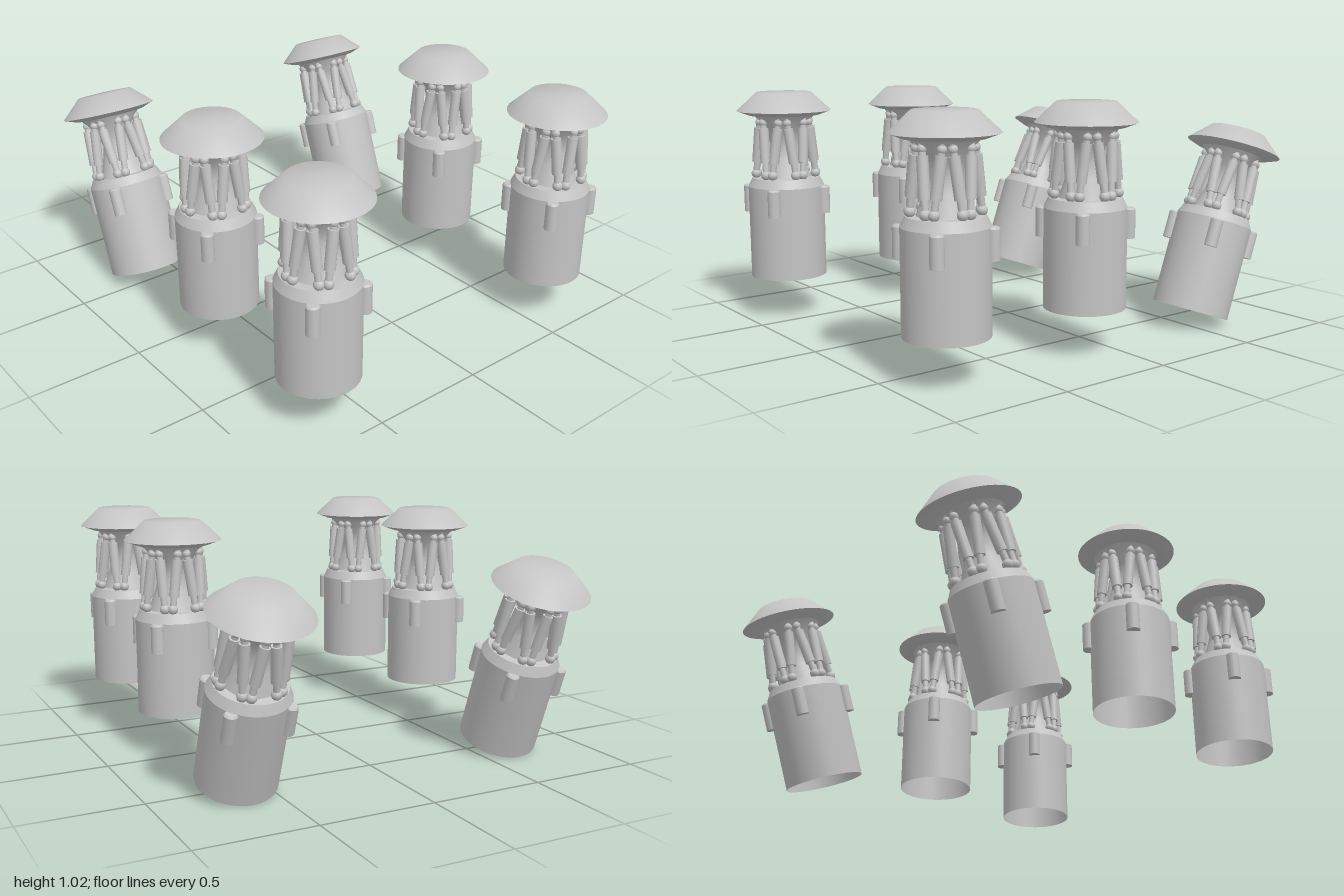
import * as THREE from 'three';

const metal = new THREE.MeshStandardMaterial({ color: 0xc4c4c4, side: THREE.DoubleSide });
metal.name = 'light grey metal';

function add(parent, name, geometry) {
  const mesh = new THREE.Mesh(geometry, metal);
  mesh.name = name;
  parent.add(mesh);
  return mesh;
}

function lathe(parent, name, points, segments = 48) {
  return add(parent, name, new THREE.LatheGeometry(points.map(p => new THREE.Vector2(...p)), segments));
}

// Cylinder between two points, radii at start and end
function rod(parent, name, a, b, r0, r1 = r0) {
  const dir = b.clone().sub(a);
  const mesh = add(parent, name, new THREE.CylinderGeometry(r1, r0, dir.length(), 12));
  mesh.position.copy(a).add(b).multiplyScalar(0.5);
  mesh.quaternion.setFromUnitVectors(new THREE.Vector3(0, 1, 0), dir.normalize());
}

function ball(parent, name, p, r) {
  add(parent, name, new THREE.SphereGeometry(r, 10, 8)).position.copy(p);
}

const polar = (angle, r, y) => new THREE.Vector3(Math.sin(angle) * r, y, Math.cos(angle) * r);

// Leaning piston with a joint at each end
function piston(parent, angle, lean) {
  const leg = new THREE.Group();
  leg.name = 'piston';
  const low = polar(angle - lean, 0.133, 0.473);
  const high = polar(angle + lean, 0.112, 0.742);
  const at = t => low.clone().lerp(high, t);
  ball(leg, 'lowerJoint', low, 0.022);
  rod(leg, 'lowerRod', low, at(0.24), 0.014);
  rod(leg, 'barrel', at(0.2), at(0.78), 0.022, 0.022);
  rod(leg, 'upperRod', at(0.76), high, 0.014);
  ball(leg, 'upperJoint', at(0.87), 0.019);
  parent.add(leg);
}

// One tower, its open bottom at y = 0
function createTower() {
  const tower = new THREE.Group();
  tower.name = 'tower';

  // Open tube with a chamfered shoulder
  lathe(tower, 'barrelWall', [[0.17, 0], [0.17, 0.415]]);
  lathe(tower, 'shoulder', [[0.17, 0.415], [0.15, 0.455]]);
  lathe(tower, 'deck', [[0.15, 0.455], [0, 0.455]]);

  // Waisted core between deck and cap
  lathe(tower, 'core', [[0.11, 0.455], [0.08, 0.54], [0.065, 0.6], [0.08, 0.67], [0.14, 0.742]], 32);

  // Cap: softly shaded top, separate underside
  lathe(tower, 'capTop', [[0.21, 0.757], [0.123, 0.84], [0, 0.84]]);
  lathe(tower, 'capUnderside', [[0, 0.738], [0.16, 0.738], [0.21, 0.757]]);

  // Rounded pods on the four diagonals
  for (let i = 0; i < 4; i++) {
    const angle = Math.PI / 4 + i * Math.PI / 2;
    const pod = new THREE.Group();
    pod.name = 'sidePod';
    add(pod, 'podBody', new THREE.CylinderGeometry(0.028, 0.028, 0.118, 16)).position.y = 0.349;
    add(pod, 'podTop', new THREE.CylinderGeometry(0.022, 0.028, 0.007, 16)).position.y = 0.4115;
    pod.position.copy(polar(angle, 0.174, 0));
    tower.add(pod);
  }

  // Ring of pistons leaning alternately
  for (let i = 0; i < 12; i++) {
    piston(tower, (i + 0.5) * Math.PI / 6, i % 2 ? 0.13 : -0.13);
  }
  return tower;
}

export function createModel() {
  const model = new THREE.Group();
  model.name = 'towers';
  const tower = createTower();
  // Two upright rows and a rear pair leaning backwards: x, y, z, tilt in degrees
  const places = [
    [0.645, 0.185, 0.787, 0],
    [0.645, 0.185, 0.103, 0],
    [0.637, 0.06, -0.542, -20],
  ];
  for (const [x, y, z, tilt] of places) {
    for (const side of [-1, 1]) {
      const copy = tower.clone();
      copy.name = tilt ? 'leaningTower' : 'uprightTower';
      copy.position.set(side * x, y, z);
      copy.rotation.x = THREE.MathUtils.degToRad(tilt);
      model.add(copy);
    }
  }
  return model;
}
